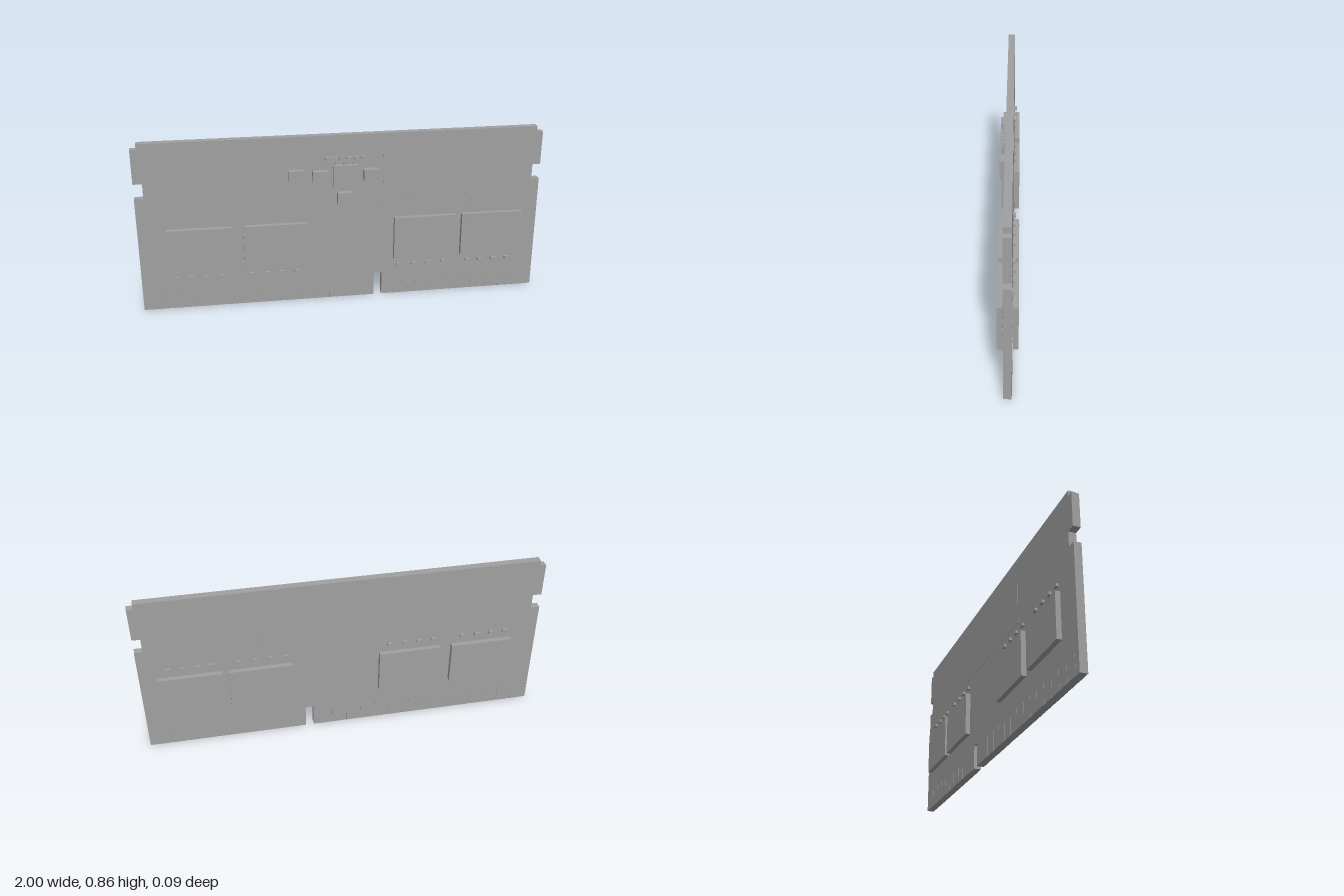
import * as THREE from 'three';

export function createModel() {
  const root = new THREE.Group();
  root.name = 'memoryModule';
  const grey = new THREE.MeshStandardMaterial({ color: 0xa0a0a0 });
  grey.name = 'grey';
  const FACE = 0.018; // half the board thickness

  // Box spanning x0..x1, y0..y1; depths measured from the board face, side +1 front, -1 back
  function block(name, x0, x1, y0, y1, d0, d1, side = 1, parent = root) {
    const mesh = new THREE.Mesh(new THREE.BoxGeometry(x1 - x0, y1 - y0, d1 - d0), grey);
    mesh.position.set((x0 + x1) / 2, (y0 + y1) / 2, side * (FACE + (d0 + d1) / 2));
    mesh.name = name;
    parent.add(mesh);
    return mesh;
  }
  function group(name) {
    const g = new THREE.Group();
    g.name = name;
    root.add(g);
    return g;
  }

  // Circuit board with key slot, side latches and stepped top corners
  const outline = [
    [-1, 0], [0.16, 0], [0.16, 0.12], [0.2, 0.12], [0.2, 0], [1, 0],
    [1, 0.59], [0.96, 0.59], [0.96, 0.665], [1, 0.665], [1, 0.835], [0.97, 0.835], [0.97, 0.863],
    [-0.97, 0.863], [-0.97, 0.835], [-1, 0.835], [-1, 0.665], [-0.956, 0.665], [-0.956, 0.59], [-1, 0.59],
  ].map(([x, y]) => new THREE.Vector2(x, y));
  const boardGeo = new THREE.ExtrudeGeometry(new THREE.Shape(outline), { depth: 2 * FACE, bevelEnabled: false });
  boardGeo.translate(0, 0, -FACE);
  const board = new THREE.Mesh(boardGeo, grey);
  board.name = 'circuitBoard';
  root.add(board);

  // Memory chips, solder balls and capacitors on both faces
  const chips = [[-0.865, -0.55], [-0.493, -0.178], [0.257, 0.573], [0.603, 0.915]];
  const capX = [
    [-0.83, -0.757, -0.683, -0.608], [-0.46, -0.383, -0.308, -0.233],
    [0.29, 0.365, 0.44, 0.52], [0.65, 0.715, 0.785, 0.86],
  ];
  for (const side of [1, -1]) {
    const g = group(side > 0 ? 'frontMemory' : 'backMemory');
    chips.forEach(([x0, x1], i) => {
      block('memoryChip', x0, x1, 0.203, 0.427, 0.004, 0.028, side, g);
      for (const y of [0.23, 0.283, 0.335, 0.386]) {
        for (let c = 0; c < 6; c++) {
          const x = x0 + 0.03 + (c * (x1 - x0 - 0.06)) / 5;
          block('solderBall', x - 0.007, x + 0.007, y - 0.007, y + 0.007, 0, 0.0045, side, g);
        }
      }
      const dot = new THREE.Mesh(new THREE.CylinderGeometry(0.006, 0.006, 0.001, 12), grey);
      dot.rotation.x = Math.PI / 2;
      dot.position.set(x0 + 0.022, 0.405, side * (FACE + 0.0283));
      dot.name = 'cornerDot';
      g.add(dot);
      const y = side > 0 ? 0.164 : 0.471;
      for (const x of capX[i]) block('capacitor', x - 0.013, x + 0.013, y - 0.007, y + 0.007, 0, 0.012, side, g);
    });
  }

  // Edge contacts either side of the key slot
  for (const side of [1, -1]) {
    const g = group(side > 0 ? 'frontContacts' : 'backContacts');
    for (const [start, count] of [[-0.965, 15], [0.225, 10]]) {
      for (let i = 0; i < count; i++) {
        const x = start + i * 0.0745;
        block('contact', x, x + 0.055, 0, 0.1, 0, 0.001, side, g);
      }
    }
  }

  // Controller with leads on four sides
  const ctrl = group('controller');
  const cx = 0.01, cy = 0.659;
  block('controllerBody', cx - 0.057, cx + 0.057, cy - 0.057, cy + 0.057, 0.003, 0.024, 1, ctrl);
  for (let i = 0; i < 8; i++) {
    const o = -0.045 + (i * 0.09) / 7;
    for (const s of [-1, 1]) {
      const a = cx + s * 0.06, b = cy + s * 0.06;
      block('sideLead', a - 0.008, a + 0.008, cy + o - 0.003, cy + o + 0.003, 0, 0.007, 1, ctrl);
      block('endLead', cx + o - 0.003, cx + o + 0.003, b - 0.008, b + 0.008, 0, 0.007, 1, ctrl);
    }
  }

  // Power parts and the row of resistors around the controller
  for (const [x0, x1, y0, y1] of [
    [-0.265, -0.195, 0.645, 0.7], [-0.15, -0.076, 0.636, 0.691],
    [0.1, 0.172, 0.636, 0.691], [-0.03, 0.048, 0.522, 0.576],
  ]) block('inductor', x0, x1, y0, y1, 0, 0.03);
  for (let i = 0; i < 6; i++) {
    const x = -0.075 + i * 0.035;
    block('resistor', x - 0.012, x + 0.012, 0.742, 0.756, 0, 0.014);
  }

  // Blank labels
  block('frontLabel', 0.2, 0.93, 0.48, 0.815, 0, 0.001);
  block('backLabel', -0.4, 0.4, 0.517, 0.776, 0, 0.0015, -1);
  for (const x of [0.3, 0.335, 0.62, 0.655]) block('labelBar', x, x + 0.012, 0.48, 0.565, 0.001, 0.0016);

  return root;
}
